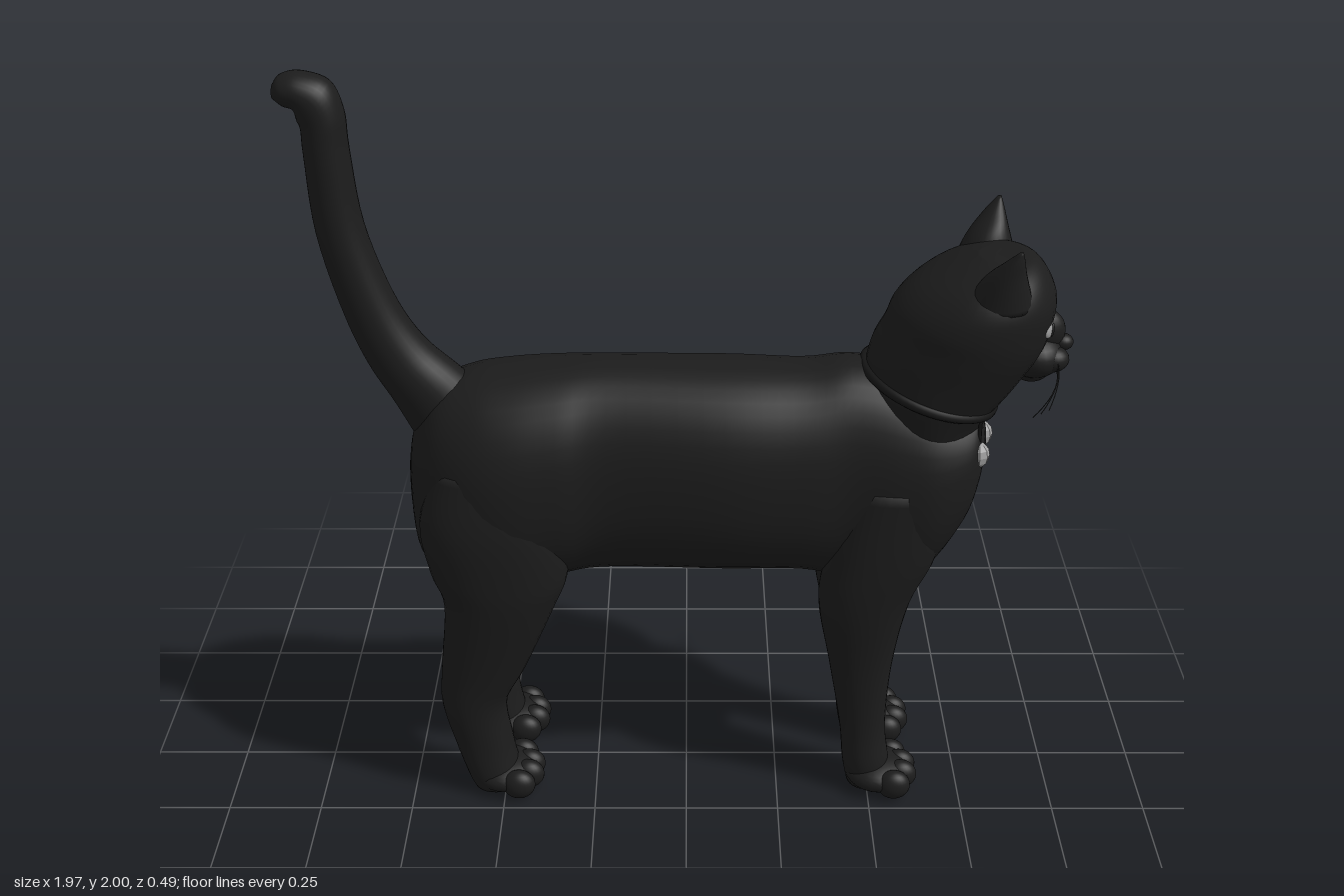
import * as THREE from 'three';

const fur = new THREE.MeshStandardMaterial({ color: 0x1c1c1c });
const collarDark = new THREE.MeshStandardMaterial({ color: 0x141414 });
const silver = new THREE.MeshStandardMaterial({ color: 0xa2a2a2 });
const eyeGrey = new THREE.MeshStandardMaterial({ color: 0x9c9c9c });
fur.name = 'black fur';
collarDark.name = 'collar black';
silver.name = 'bell silver';
eyeGrey.name = 'eye grey';

const catmull = (a, b, c, d, t) =>
  0.5 * (2 * b + (c - a) * t + (2 * a - 5 * b + 4 * c - d) * t * t + (3 * b - a - 3 * c + d) * t * t * t);

// Smooth closed loft. Section: [cx, cy, cz, ux, uy, rz], an ellipse spanned by (ux, uy, 0) and (0, 0, rz).
function loft(sections, power = 2, sides = 32, steps = 5) {
  const rings = [], last = sections.length - 1;
  const at = i => sections[Math.min(last, Math.max(0, i))];
  for (let i = 0; i < last; i++)
    for (let k = 0; k < steps; k++)
      rings.push(at(i).map((v, n) => catmull(at(i - 1)[n], v, at(i + 1)[n], at(i + 2)[n], k / steps)));
  rings.push(at(last));

  const pos = [], index = [];
  const round = v => Math.sign(v) * Math.abs(v) ** (2 / power);
  for (const [x, y, z, ux, uy, rz] of rings)
    for (let j = 0; j < sides; j++) {
      const a = (j / sides) * Math.PI * 2, c = round(Math.cos(a)), s = round(Math.sin(a));
      pos.push(x + ux * c, y + uy * c, z + rz * s);
    }
  const start = rings.length * sides, end = start + 1;
  pos.push(...rings[0].slice(0, 3), ...at(last).slice(0, 3));
  for (let j = 0; j < sides; j++) {
    const j2 = (j + 1) % sides, top = (rings.length - 1) * sides;
    for (let i = 0; i < rings.length - 1; i++) {
      const a = i * sides + j, b = i * sides + j2;
      index.push(a, b, a + sides, b, b + sides, a + sides);
    }
    index.push(start, j2, j, end, top + j, top + j2);
  }
  // turn the faces outward if the enclosed volume is negative
  const p = i => new THREE.Vector3().fromArray(pos, i * 3);
  let volume = 0;
  for (let i = 0; i < index.length; i += 3)
    volume += p(index[i]).dot(p(index[i + 1]).cross(p(index[i + 2])));
  if (volume < 0) index.reverse();

  const g = new THREE.BufferGeometry();
  g.setAttribute('position', new THREE.Float32BufferAttribute(pos, 3));
  g.setIndex(index);
  g.computeVertexNormals();
  return g;
}

function add(parent, name, geometry, material = fur) {
  const mesh = new THREE.Mesh(geometry, material);
  mesh.name = name;
  parent.add(mesh);
  return mesh;
}

function ball(parent, name, [x, y, z], [rx, ry, rz], material = fur) {
  const mesh = add(parent, name, new THREE.SphereGeometry(1, 24, 16), material);
  mesh.position.set(x, y, z);
  mesh.scale.set(rx, ry, rz);
  return mesh;
}

// Leg from rows of [y, back x, front x, inner z, outer z], with a toed paw
function leg(name, rows, pawX, side) {
  const group = new THREE.Group();
  group.name = name;
  add(group, 'limb', loft(rows.map(([y, x0, x1, z0, z1]) =>
    [(x0 + x1) / 2, y, side * (z0 + z1) / 2, (x1 - x0) / 2, 0, (z1 - z0) / 2]), 2.2));
  ball(group, 'paw', [pawX, 0.045, side * 0.128], [0.09, 0.045, 0.095]);
  for (let i = 0; i < 4; i++) {
    const mid = i === 1 || i === 2;
    ball(group, 'toe', [pawX + (mid ? 0.062 : 0.04), 0.043, side * (0.056 + i * 0.048)], [0.045, 0.042, 0.033]);
  }
  return group;
}

export function createModel() {
  const cat = new THREE.Group();
  cat.name = 'cat';

  // Torso: x, bottom, top, half width
  const torso = [
    [-0.72, 0.80, 0.98, 0.05], [-0.70, 0.69, 1.07, 0.12], [-0.64, 0.62, 1.17, 0.18],
    [-0.55, 0.60, 1.21, 0.225], [-0.45, 0.60, 1.225, 0.24], [-0.33, 0.64, 1.235, 0.225],
    [-0.20, 0.655, 1.24, 0.20], [0.10, 0.655, 1.235, 0.22], [0.30, 0.65, 1.23, 0.205],
    [0.42, 0.62, 1.245, 0.19], [0.55, 0.60, 1.22, 0.205], [0.64, 0.67, 1.18, 0.205],
    [0.72, 0.80, 1.14, 0.17], [0.755, 0.90, 1.12, 0.12], [0.773, 0.98, 1.07, 0.05],
  ];
  add(cat, 'torso', loft(torso.map(([x, lo, hi, w]) => [x, (lo + hi) / 2, 0, 0, (hi - lo) / 2, w]), 2.25, 40));

  // Raised tail with a curled tip
  add(cat, 'tail', loft([
    [-0.58, 1.05, 0, 0.10, 0.07, 0.09], [-0.665, 1.17, 0, 0.085, 0.045, 0.085],
    [-0.74, 1.27, 0, 0.073, 0.03, 0.076], [-0.80, 1.40, 0, 0.065, 0.02, 0.07],
    [-0.855, 1.60, 0, 0.06, 0.01, 0.066], [-0.872, 1.80, 0, 0.056, 0.005, 0.064],
    [-0.875, 1.88, 0, 0.054, 0.022, 0.064], [-0.893, 1.928, 0, 0.043, 0.046, 0.064],
    [-0.93, 1.953, 0, 0.010, 0.046, 0.06], [-0.965, 1.953, 0, -0.003, 0.038, 0.05],
    [-0.987, 1.95, 0, 0, 0.018, 0.025],
  ]));

  // Neck and skull
  const head = new THREE.Group();
  head.name = 'head';
  cat.add(head);
  add(head, 'neckAndSkull', loft([
    [0.61, 1.08, 0, 0.13, -0.05, 0.165], [0.62, 1.16, 0, 0.162, -0.05, 0.182],
    [0.655, 1.24, 0, 0.185, -0.05, 0.195], [0.70, 1.32, 0, 0.20, -0.03, 0.21],
    [0.72, 1.38, 0, 0.20, -0.02, 0.217], [0.743, 1.44, 0, 0.183, -0.005, 0.21],
    [0.755, 1.49, 0, 0.143, 0.01, 0.18], [0.77, 1.523, 0, 0.09, 0.01, 0.115],
    [0.77, 1.533, 0, 0.04, 0, 0.05],
  ], 2, 40));
  ball(head, 'muzzle', [0.885, 1.262, 0], [0.075, 0.06, 0.085]);
  ball(head, 'chin', [0.88, 1.222, 0], [0.05, 0.035, 0.05]);
  ball(head, 'noseBridge', [0.90, 1.325, 0], [0.06, 0.06, 0.042]);
  ball(head, 'nose', [0.955, 1.293, 0], [0.028, 0.022, 0.026]);

  for (const s of [1, -1]) {
    ball(head, 'whiskerPad', [0.925, 1.26, s * 0.032], [0.045, 0.034, 0.04]);
    add(head, 'ear', loft([
      [0.765, 1.45, s * 0.135, 0.085, 0, 0.068], [0.768, 1.53, s * 0.152, 0.055, 0.01, 0.052],
      [0.783, 1.58, s * 0.176, 0.028, 0.008, 0.027], [0.797, 1.612, s * 0.19, 0.006, 0.002, 0.008],
    ], 2, 24));
    // Slanted almond eye
    const eye = ball(head, 'eye', [0.902, 1.365, s * 0.086], [0.009, 0.021, 0.037], eyeGrey);
    eye.rotation.set(-s * 0.2, -s * 0.42, 0, 'YXZ');
    const pupil = ball(head, 'pupil', [0.909, 1.366, s * 0.089], [0.005, 0.018, 0.008]);
    pupil.rotation.copy(eye.rotation);
    // Drooping whiskers
    for (let i = 0; i < 3; i++) {
      const curve = new THREE.QuadraticBezierCurve3(
        new THREE.Vector3(0.935, 1.265 - i * 0.012, s * 0.06),
        new THREE.Vector3(0.94, 1.25 - i * 0.015, s * 0.13),
        new THREE.Vector3(0.90 - i * 0.015, 1.19 - i * 0.02, s * (0.185 - i * 0.02)));
      add(head, 'whisker', new THREE.TubeGeometry(curve, 8, 0.0012, 4));
    }
    // Legs
    cat.add(leg('hindLeg', [
      [1.0, -0.64, -0.38, 0.06, 0.215], [0.85, -0.69, -0.32, 0.04, 0.243], [0.70, -0.67, -0.31, 0.035, 0.246],
      [0.60, -0.64, -0.345, 0.04, 0.24], [0.40, -0.658, -0.43, 0.05, 0.215], [0.28, -0.664, -0.488, 0.052, 0.205],
      [0.15, -0.635, -0.477, 0.052, 0.20], [0.05, -0.605, -0.46, 0.05, 0.205], [0.01, -0.59, -0.46, 0.06, 0.195],
    ], -0.50, s));
    cat.add(leg('frontLeg', [
      [0.95, 0.42, 0.68, 0.05, 0.205], [0.75, 0.37, 0.655, 0.03, 0.215], [0.60, 0.35, 0.592, 0.035, 0.21],
      [0.40, 0.385, 0.556, 0.042, 0.188], [0.20, 0.42, 0.546, 0.045, 0.18],
      [0.08, 0.432, 0.56, 0.04, 0.19], [0.01, 0.445, 0.56, 0.05, 0.18],
    ], 0.53, s));
  }

  // Tilted collar band
  const ring = Array.from({ length: 32 }, (_, i) => {
    const a = (i / 32) * Math.PI * 2;
    return new THREE.Vector3(0.622 + 0.168 * Math.cos(a), 1.18 - 0.053 * Math.cos(a), 0.188 * Math.sin(a));
  });
  add(cat, 'collar', new THREE.TubeGeometry(new THREE.CatmullRomCurve3(ring, true), 64, 0.012, 8, true), collarDark);

  // Three bells hanging on cords
  for (const i of [-1, 0, 1]) {
    const x = i ? 0.745 : 0.768, z = i * 0.118;
    const bellShape = new THREE.SphereGeometry(0.029, 8, 6).toNonIndexed();
    bellShape.computeVertexNormals();
    const bell = add(cat, 'bell', bellShape, silver);
    bell.position.set(x, 1.03, z);
    bell.scale.y = 1.2;
    const cord = new THREE.LineCurve3(new THREE.Vector3(x, 1.055, z), new THREE.Vector3(i ? 0.745 : 0.782, 1.14, z * 0.95));
    add(cat, 'bellCord', new THREE.TubeGeometry(cord, 1, 0.005, 6), collarDark);
  }
  return cat;
}
